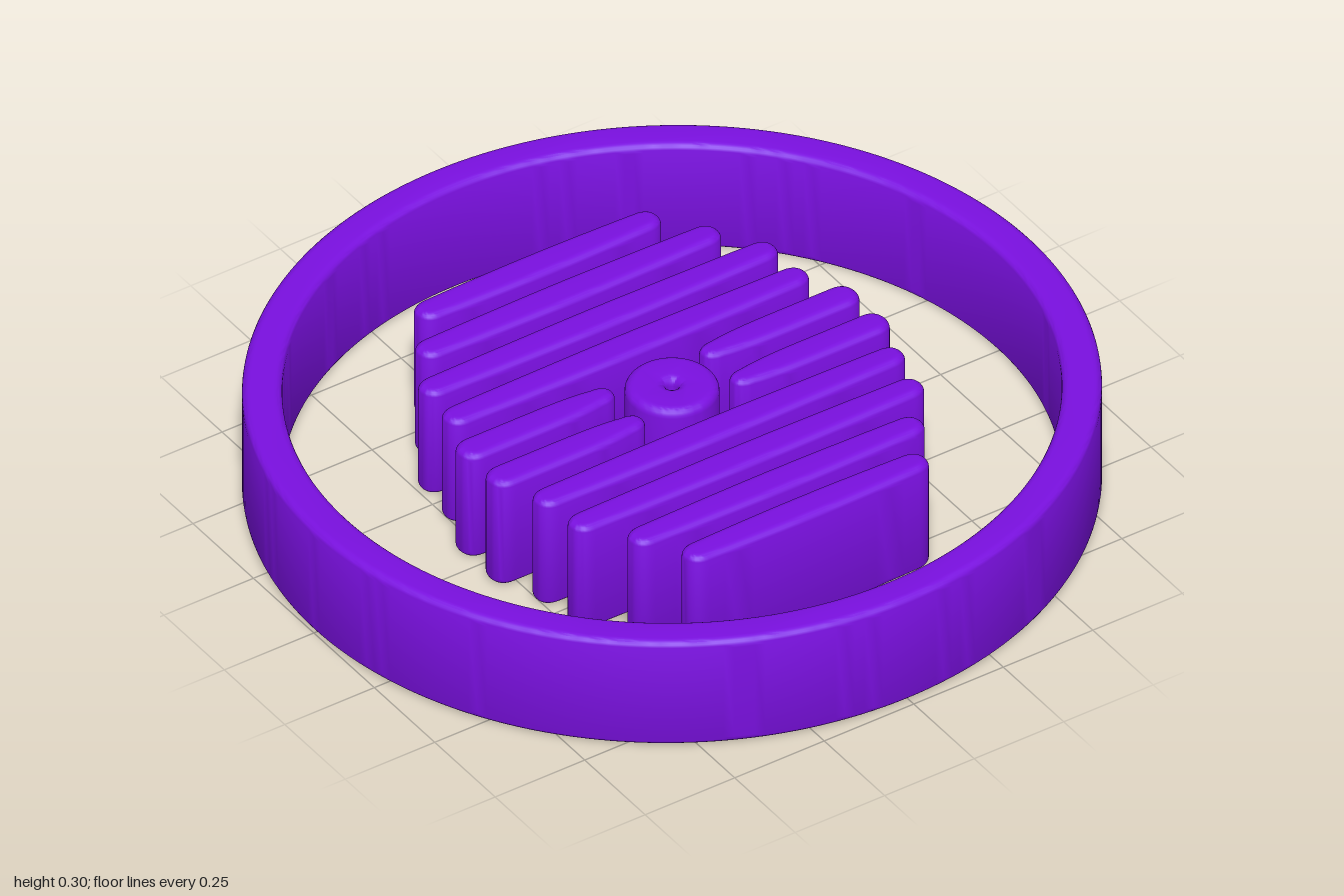
import * as THREE from 'three';
import { toCreasedNormals } from 'three/addons/utils/BufferGeometryUtils.js';

const HEIGHT = 0.3;
const material = new THREE.MeshStandardMaterial({ color: 0x7a10e0 });

// Stands an outline (shape y = -z) up to full height with rounded rims.
function slab(name, shape, bevel, curveSegments) {
  const geometry = new THREE.ExtrudeGeometry(shape, {
    depth: HEIGHT - 2 * bevel,
    bevelThickness: bevel,
    bevelSize: bevel,
    bevelOffset: -bevel,
    bevelSegments: 5,
    curveSegments,
  });
  geometry.translate(0, 0, bevel).rotateX(-Math.PI / 2);
  const mesh = new THREE.Mesh(toCreasedNormals(geometry, 0.6), material);
  mesh.name = name;
  return mesh;
}

// Lozenge outline from x0 to x1: half thickness h in the middle, e0 and e1 near the ends.
function barShape(x0, x1, h, e0, e1) {
  const m = (x0 + x1) / 2, r = 0.045, k = 0.12;
  const s = new THREE.Shape();
  s.moveTo(x0, 0);
  s.bezierCurveTo(x0, -e0 * 0.6, x0 + r * 0.4, -e0, x0 + r, -e0);
  s.quadraticCurveTo(m - k, -h, m, -h);
  s.quadraticCurveTo(m + k, -h, x1 - r, -e1);
  s.bezierCurveTo(x1 - r * 0.4, -e1, x1, -e1 * 0.6, x1, 0);
  s.bezierCurveTo(x1, e1 * 0.6, x1 - r * 0.4, e1, x1 - r, e1);
  s.quadraticCurveTo(m + k, h, m, h);
  s.quadraticCurveTo(m - k, h, x0 + r, e0);
  s.bezierCurveTo(x0 + r * 0.4, e0, x0, e0 * 0.6, x0, 0);
  return s;
}

export function createModel() {
  const model = new THREE.Group();
  model.name = 'ventGrille';

  // Outer ring
  const ringShape = new THREE.Shape().absellipse(0, 0, 1, 0.985, 0, Math.PI * 2);
  ringShape.holes.push(new THREE.Path().absellipse(0, 0, 0.905, 0.895, 0, Math.PI * 2));
  model.add(slab('outerRing', ringShape, 0.02, 128));

  // Full-width bars: z, left end, right end
  const bars = new THREE.Group();
  bars.name = 'bars';
  const fullBars = [
    [-0.553, -0.34, 0.335], [-0.43, -0.42, 0.42], [-0.306, -0.495, 0.495], [-0.185, -0.51, 0.5],
    [0.19, -0.51, 0.515], [0.313, -0.495, 0.485], [0.434, -0.41, 0.405], [0.555, -0.34, 0.335],
  ];
  for (const [z, x0, x1] of fullBars) {
    const bar = slab('bar', barShape(x0, x1, 0.044, 0.038, 0.038), 0.02, 8);
    bar.position.z = z;
    bars.add(bar);
  }

  // Split bars on either side of the hub, narrowing towards it
  for (const z of [-0.06, 0.065]) {
    const right = slab('splitBarRight', barShape(-0.555, -0.125, 0.042, 0.042, 0.032), 0.02, 8);
    const left = slab('splitBarLeft', barShape(0.122, 0.555, 0.042, 0.032, 0.042), 0.02, 8);
    right.position.z = left.position.z = z;
    bars.add(right, left);
  }
  model.add(bars);

  // Central hub with a small through hole
  const hubShape = new THREE.Shape().absarc(0, 0, 0.11, 0, Math.PI * 2);
  hubShape.holes.push(new THREE.Path().absarc(0, 0, 0.014, 0, Math.PI * 2));
  model.add(slab('hub', hubShape, 0.022, 40));

  return model;
}
